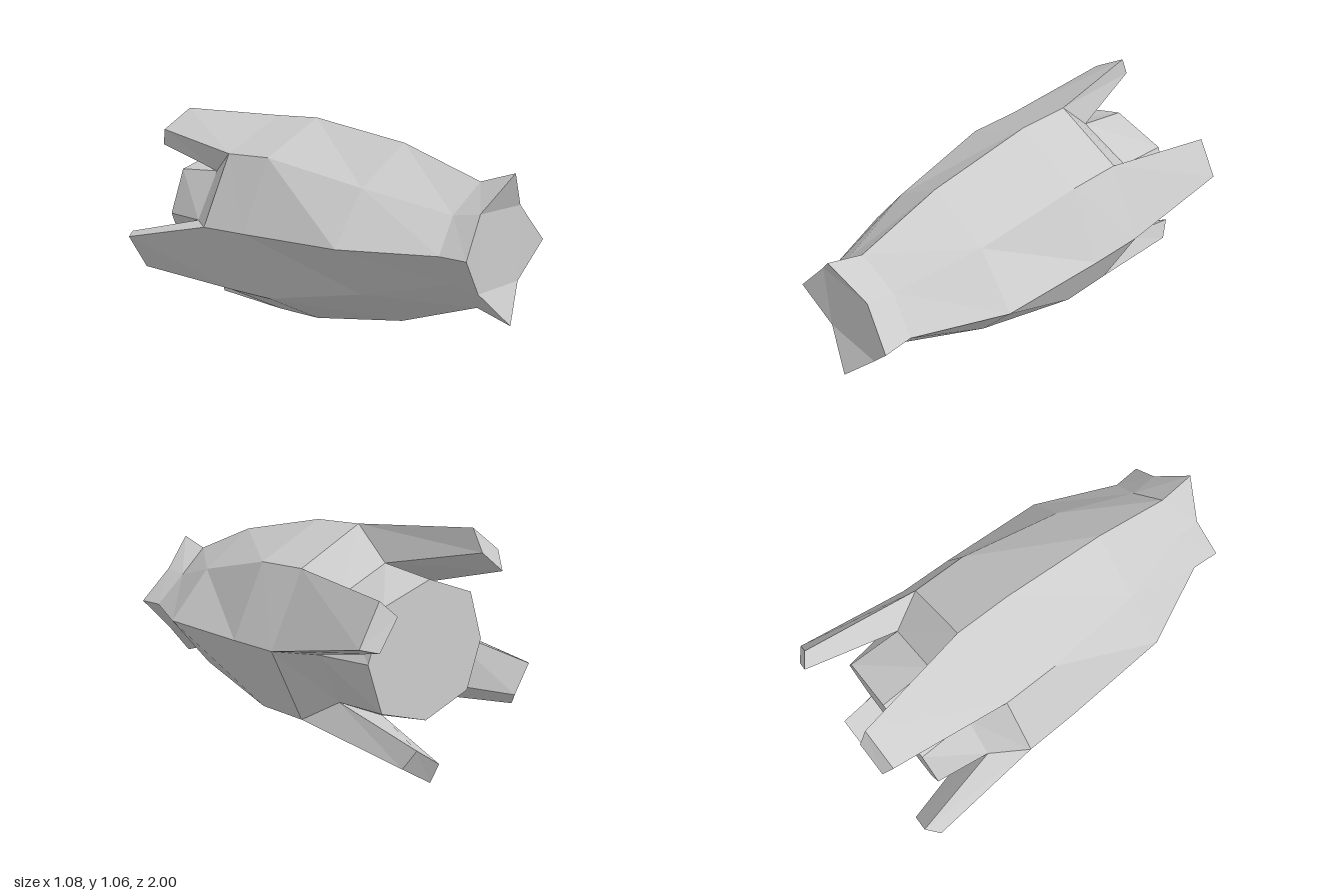
import * as THREE from 'three';

const CY = 0.53; // height of the hull axis
const material = new THREE.MeshStandardMaterial({ color: 0xcccccc, flatShading: true });

// Eight-sided section, anticlockwise from the model's left; corners alternate side/diagonal
function ring(ax, ay, dx, dy, z, zSide = z, zDiag = z) {
  return [
    [ax, 0, zSide], [dx, dy, zDiag], [0, ay, z], [-dx, dy, zDiag],
    [-ax, 0, zSide], [-dx, -dy, zDiag], [0, -ay, z], [dx, -dy, zDiag],
  ];
}

// Skin between sections listed from front to back, closed by the given cap triangles
function loft(name, rings, frontCap, backCap) {
  const n = rings[0].length, pos = [];
  const tri = (...pts) => pts.forEach(([x, y, z]) => pos.push(x, y + CY, z));
  for (let i = 0; i < rings.length - 1; i++) {
    for (let k = 0; k < n; k++) {
      const j = (k + 1) % n;
      const a = rings[i][k], b = rings[i][j], c = rings[i + 1][j], d = rings[i + 1][k];
      tri(a, d, b);
      tri(b, d, c);
    }
  }
  const last = rings[rings.length - 1];
  frontCap.forEach(([a, b, c]) => tri(rings[0][a], rings[0][b], rings[0][c]));
  backCap.forEach(([a, b, c]) => tri(last[a], last[c], last[b]));
  const geometry = new THREE.BufferGeometry();
  geometry.setAttribute('position', new THREE.Float32BufferAttribute(pos, 3));
  geometry.computeVertexNormals();
  const mesh = new THREE.Mesh(geometry, material);
  mesh.name = name;
  return mesh;
}

const fan = (n) => Array.from({ length: n - 2 }, (_, i) => [0, i + 1, i + 2]);

export function createModel() {
  const group = new THREE.Group();
  group.name = 'podHull';

  const rim = ring(0.51, 0.51, 0.34, 0.34, -0.39);
  const collar = ring(0.4, 0.35, 0.27, 0.235, -0.56);

  // Hull: flared nose, neck, swelling body, rear bevel and engine drum
  const noseCap = [[7, 0, 1], [1, 2, 3], [3, 4, 5], [5, 6, 7], [1, 3, 5], [1, 5, 7]];
  group.add(loft('hull', [
    ring(0.31, 0.33, 0.16, 0.17, 1.0, 0.97, 0.935),
    ring(0.3, 0.28, 0.16, 0.15, 0.83, 0.83, 0.8),
    ring(0.48, 0.42, 0.28, 0.24, 0.42, 0.42, 0.4),
    ring(0.505, 0.51, 0.34, 0.34, -0.12),
    rim,
    collar,
    ring(0.36, 0.31, 0.275, 0.225, -0.82),
  ], noseCap, fan(8)));

  // Rear fins continue every second hull face; opposite fins are half-turn copies
  const tips = [
    { side: 0, name: 'sideFin', outer: [[0.54, 0.115], [0.435, 0.29]], inner: [[0.48, 0.1], [0.385, 0.23]] },
    { side: 2, name: 'upperLowerFin', outer: [[-0.11, 0.53], [-0.285, 0.425]], inner: [[-0.115, 0.43], [-0.255, 0.34]] },
  ];
  for (const { side, name, outer, inner } of tips) {
    for (const s of [1, -1]) {
      const k = s > 0 ? side : side + 4, j = (k + 1) % 8;
      const at = ([x, y], z) => [s * x, s * y, z];
      const root = [rim[k], rim[j], collar[j], collar[k]];
      const tip = [at(outer[0], -0.95), at(outer[1], -0.95), at(inner[1], -1), at(inner[0], -1)];
      group.add(loft(name + (s > 0 ? 'A' : 'B'), [root, tip], fan(4), fan(4)));
    }
  }
  return group;
}
